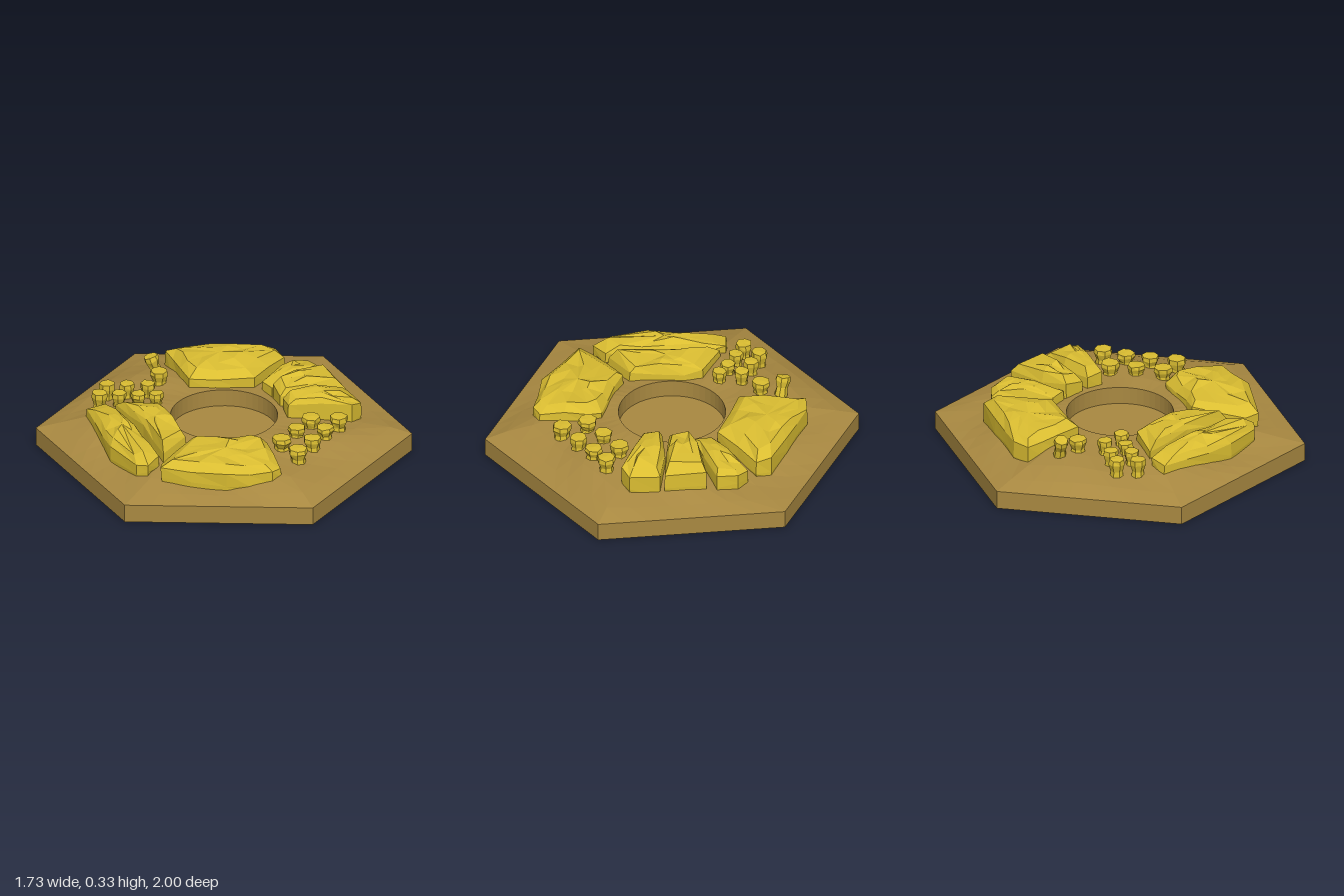
import * as THREE from 'three';

const earth = new THREE.MeshStandardMaterial({ color: 0xa98941, flatShading: true });
const ochre = new THREE.MeshStandardMaterial({ color: 0xdabd31, flatShading: true });

// Repeatable noise between -1 and 1
function makeNoise(seed) {
  let s = seed * 7919 + 17;
  return () => {
    s = (s * 16807) % 2147483647;
    return (s / 2147483647) * 2 - 1;
  };
}

// Skin a stack of closed rings, listed from the underside up and inward
function loft(rings) {
  const pos = [];
  for (let k = 0; k < rings.length - 1; k++) {
    const a = rings[k], b = rings[k + 1], n = a.length;
    for (let i = 0; i < n; i++) {
      const j = (i + 1) % n;
      if (k < rings.length - 2) pos.push(...a[i], ...b[i], ...b[j]);
      if (k > 0) pos.push(...a[i], ...b[j], ...a[j]);
      if (k === rings.length - 2) continue;
    }
  }
  const g = new THREE.BufferGeometry();
  g.setAttribute('position', new THREE.Float32BufferAttribute(pos, 3));
  g.computeVertexNormals();
  return g;
}

function add(group, geometry, material, name) {
  const mesh = new THREE.Mesh(geometry, material);
  mesh.name = name;
  group.add(mesh);
  return mesh;
}

const PIT = 0.285, SEG = 48;
const hexRadius = (a) => {
  const step = Math.PI / 3;
  const off = a - Math.round(a / step) * step;
  return 0.866 / Math.cos(off);
};

// Ground height: a mound around the pit, steeper toward the two x sides
function groundY(x, z) {
  const a = Math.atan2(z, x), R = hexRadius(a);
  const t = Math.min(1, Math.max(0, (Math.hypot(x, z) - PIT) / (R - PIT)));
  const side = Math.cos(a) ** 2;
  const fall = Math.pow(t, 1.1 + 1.9 * side);
  const bump = 0.012 * Math.sin(a * 7 + t * 5) * Math.sin(Math.PI * t);
  return 0.1 + 0.095 * (1 - fall) + bump;
}

// Hexagonal slab, mound and round pit as one skin
function baseGeometry() {
  const ring = (f) => Array.from({ length: SEG }, (_, i) => f((i / SEG) * Math.PI * 2));
  const at = (a, r, y) => [r * Math.cos(a), y, r * Math.sin(a)];
  const rings = [ring(() => [0, 0, 0]), ring((a) => at(a, hexRadius(a), 0))];
  for (const t of [1, 0.84, 0.64, 0.42, 0.2, 0]) {
    rings.push(ring((a) => {
      const r = PIT + (hexRadius(a) - PIT) * t;
      const y = t === 1 ? 0.1 : t === 0 ? 0.195 : groundY(r * Math.cos(a), r * Math.sin(a));
      return at(a, r, y);
    }));
  }
  rings.push(ring((a) => at(a, PIT, 0.1)), ring(() => [0, 0.1, 0]));
  return loft(rings);
}

// Faceted boulder from its plan outline: steep walls, bevelled shoulder, lumpy top
function rockGeometry(outline, top, seed) {
  const noise = makeNoise(seed);
  const area = outline.reduce((s, p, i) => {
    const q = outline[(i + 1) % outline.length];
    return s + p[0] * q[1] - q[0] * p[1];
  }, 0);
  const pts = area > 0 ? outline : [...outline].reverse();
  // Break long edges so the facets are of similar size
  const plan = [];
  pts.forEach((p, i) => {
    const q = pts[(i + 1) % pts.length];
    const n = Math.max(1, Math.round(Math.hypot(q[0] - p[0], q[1] - p[1]) / 0.16));
    for (let k = 0; k < n; k++) plan.push([p[0] + (q[0] - p[0]) * k / n, p[1] + (q[1] - p[1]) * k / n]);
  });
  const cx = plan.reduce((s, p) => s + p[0], 0) / plan.length;
  const cz = plan.reduce((s, p) => s + p[1], 0) / plan.length;
  const level = (scale, y, jitterY, jitter) => plan.map(([x, z]) => {
    const f = scale + noise() * jitter;
    // The stone sinks slightly toward the rim of the tile
    const sag = 0.06 * Math.max(0, Math.hypot(x, z) - 0.5) * (y > 0.15 ? 1 : 0);
    return [cx + (x - cx) * f, y - sag + noise() * jitterY, cz + (z - cz) * f];
  });
  return loft([
    plan.map(() => [cx, 0.1, cz]),
    level(0.96, 0.11, 0, 0.02),
    level(0.99, 0.17, 0.015, 0.015),
    level(0.98, top - 0.05, 0.014, 0.02),
    level(0.78, top - 0.012, 0.014, 0.05),
    level(0.4, top, 0.016, 0.06),
    plan.map(() => [cx, top, cz]),
  ]);
}

const rocks = [
  ['backRightRock', 0.295, [[-0.03, -0.36], [-0.04, -0.69], [-0.12, -0.72], [-0.3, -0.62], [-0.55, -0.47],
    [-0.61, -0.38], [-0.53, -0.32], [-0.32, -0.16], [-0.2, -0.24]]],
  ['backSliceInner', 0.275, [[0.01, -0.36], [0.02, -0.7], [0.1, -0.72], [0.205, -0.67], [0.15, -0.48], [0.1, -0.32]]],
  ['backSliceMiddle', 0.315, [[0.11, -0.31], [0.15, -0.45], [0.25, -0.64], [0.44, -0.52], [0.31, -0.36], [0.2, -0.24]]],
  ['backSliceOuter', 0.315, [[0.23, -0.22], [0.32, -0.37], [0.46, -0.51], [0.6, -0.42], [0.59, -0.34], [0.45, -0.25],
    [0.3, -0.15]]],
  ['frontLeftRock', 0.28, [[0.02, 0.68], [0.03, 0.38], [0.13, 0.33], [0.33, 0.18], [0.4, 0.2], [0.6, 0.38],
    [0.59, 0.45], [0.4, 0.62], [0.22, 0.69], [0.06, 0.74]]],
  ['frontRightInnerSlice', 0.285, [[-0.32, 0.15], [-0.23, 0.19], [0, 0.38], [-0.01, 0.59], [-0.25, 0.41], [-0.52, 0.26]]],
  ['frontRightOuterSlice', 0.275, [[-0.57, 0.28], [-0.5, 0.3], [-0.28, 0.43], [-0.02, 0.62], [-0.02, 0.73],
    [-0.08, 0.75], [-0.3, 0.66], [-0.64, 0.36]]],
];

// Small stone stumps: x, z, top radius, height of top
const stumps = [
  [0.455, -0.14, 0.053, 0.25], [0.59, -0.205, 0.05, 0.26], [0.582, -0.08, 0.05, 0.25], [0.455, 0, 0.05, 0.25],
  [0.585, 0.05, 0.05, 0.245], [0.452, 0.145, 0.053, 0.25], [0.585, 0.195, 0.053, 0.245],
  [-0.49, -0.135, 0.05, 0.265], [-0.47, 0.01, 0.042, 0.26], [-0.57, 0.06, 0.042, 0.255], [-0.462, 0.12, 0.042, 0.25],
  [-0.375, 0.08, 0.042, 0.26], [-0.662, 0.11, 0.045, 0.25], [-0.552, 0.17, 0.042, 0.25], [-0.642, 0.22, 0.045, 0.25],
];

function stumpGeometry(r, h, seed) {
  const noise = makeNoise(seed);
  const N = 7, turn = noise() * Math.PI;
  const ring = (k, y) => Array.from({ length: N }, (_, i) => {
    const a = turn + (i / N) * Math.PI * 2, f = r * (k + 0.06 * noise());
    return [f * Math.cos(a), y + (k > 0 ? 0.003 * noise() : 0), f * Math.sin(a)];
  });
  const point = (y) => Array.from({ length: N }, () => [0, y, 0]);
  return loft([point(0), ring(0.85, 0), ring(0.72, h * 0.45), ring(0.98, h * 0.78), ring(0.92, h), point(h + 0.002)]);
}

export function createModel() {
  const model = new THREE.Group();
  model.name = 'hexTile';
  add(model, baseGeometry(), earth, 'base');

  const rockRing = new THREE.Group();
  rockRing.name = 'rockRing';
  rocks.forEach(([name, top, outline], i) => add(rockRing, rockGeometry(outline, top, i + 3), ochre, name));
  model.add(rockRing);

  const stumpGroup = new THREE.Group();
  stumpGroup.name = 'stoneStumps';
  stumps.forEach(([x, z, r, top], i) => {
    const foot = groundY(x, z) - 0.03;
    const stump = add(stumpGroup, stumpGeometry(r, top - foot, i + 21), ochre, 'stump');
    stump.position.set(x, foot, z);
  });
  // One stump leans over on its own
  const leaning = add(stumpGroup, stumpGeometry(0.042, 0.11, 50), ochre, 'leaningStump');
  leaning.position.set(-0.555, 0.19, -0.22);
  leaning.rotation.set(0.15, 0, 0.3);
  model.add(stumpGroup);
  return model;
}
